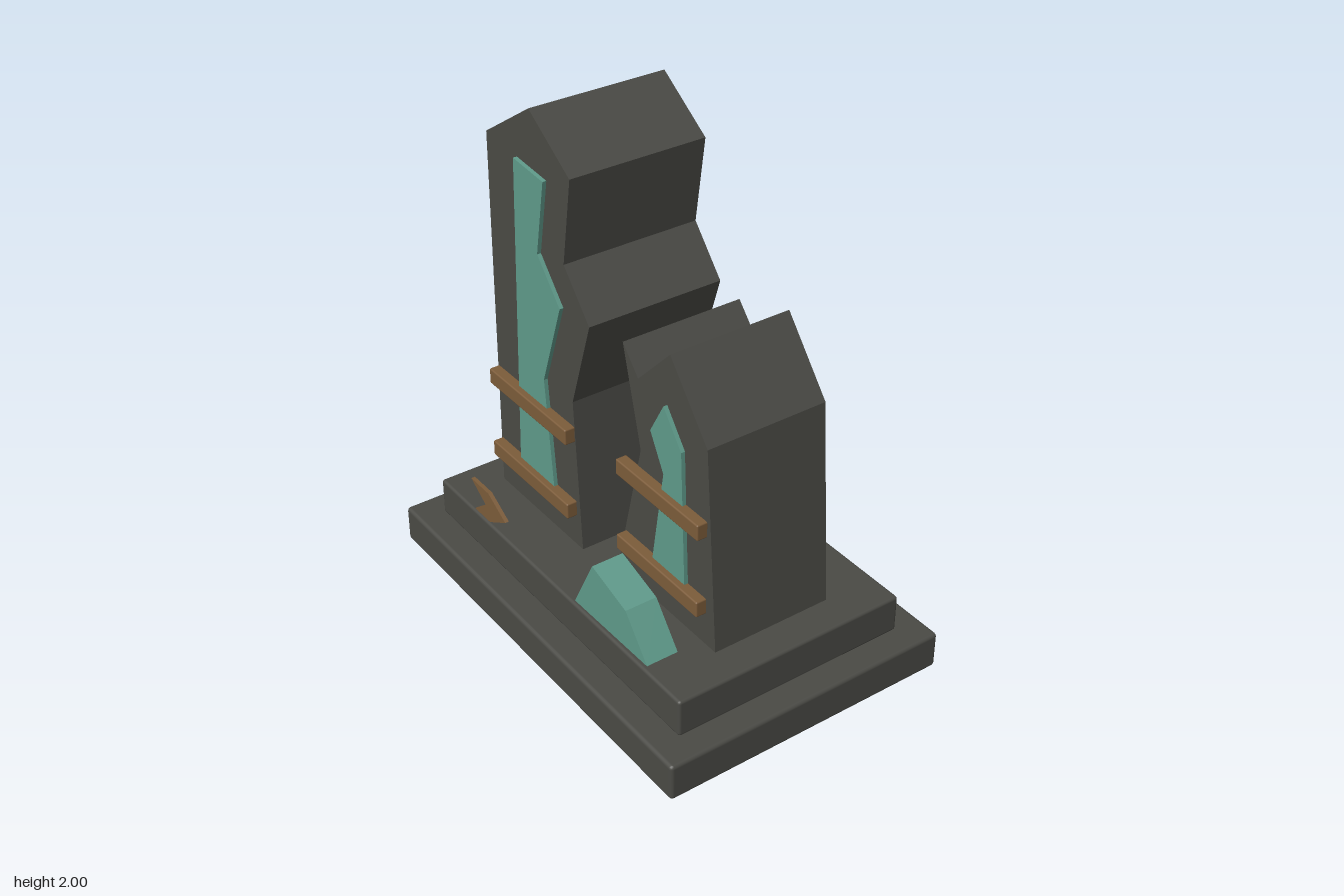
import * as THREE from 'three';
import { RoundedBoxGeometry } from 'three/addons/geometries/RoundedBoxGeometry.js';

const stone = new THREE.MeshStandardMaterial({ color: 0x4a4a45 });
const crystal = new THREE.MeshStandardMaterial({ color: 0x5f9a8a });
const bronze = new THREE.MeshStandardMaterial({ color: 0x7c5c3a });

// Flat outline in x/y, extruded from z0 to z1
function plate(name, material, points, z0, z1) {
  const shape = new THREE.Shape(points.map(([x, y]) => new THREE.Vector2(x, y)));
  const geometry = new THREE.ExtrudeGeometry(shape, { depth: z1 - z0, bevelEnabled: false });
  geometry.translate(0, 0, z0);
  const mesh = new THREE.Mesh(geometry, material);
  mesh.name = name;
  return mesh;
}

// Softened box given by its extents
function block(name, material, [x0, x1], [y0, y1], [z0, z1], radius) {
  const mesh = new THREE.Mesh(
    new RoundedBoxGeometry(x1 - x0, y1 - y0, z1 - z0, 2, radius), material);
  mesh.position.set((x0 + x1) / 2, (y0 + y1) / 2, (z0 + z1) / 2);
  mesh.name = name;
  return mesh;
}

export function createModel() {
  const model = new THREE.Group();
  model.name = 'brokenMonument';

  // Stepped plinth
  model.add(
    block('lowerStep', stone, [-0.905, 0.905], [0, 0.152], [-0.6, 0.6], 0.015),
    block('upperStep', stone, [-0.797, 0.797], [0.15, 0.305], [-0.49, 0.49], 0.012));

  // Tall and short halves of the split stone
  model.add(
    plate('tallStone', stone, [
      [-0.66, 0.3], [-0.097, 0.3], [-0.14, 0.94], [-0.02, 1.31],
      [-0.172, 1.487], [-0.12, 1.833], [-0.365, 2], [-0.655, 1.808],
    ], -0.278, 0.285),
    plate('shortStone', stone, [
      [0.06, 0.3], [0.66, 0.3], [0.597, 1.125], [0.385, 1.387],
      [0.2, 1.198], [0.11, 1.3], [0.213, 0.91],
    ], -0.265, 0.235));

  // Crystal veins set into the faces
  model.add(
    plate('tallFrontVein', crystal, [
      [-0.496, 0.48], [-0.258, 0.48], [-0.305, 0.955], [-0.182, 1.31],
      [-0.318, 1.468], [-0.265, 1.77], [-0.453, 1.787],
    ], 0.27, 0.301),
    plate('shortFrontVein', crystal, [
      [0.3, 0.48], [0.497, 0.48], [0.472, 1.05],
      [0.37, 1.182], [0.293, 1.045], [0.37, 0.905],
    ], 0.22, 0.251),
    plate('tallBackVein', crystal, [
      [-0.48, 0.55], [-0.275, 0.56], [-0.31, 1.04],
      [-0.215, 1.37], [-0.35, 1.69], [-0.48, 1.75],
    ], -0.293, -0.26));

  // Bronze straps across both halves
  for (const y of [0.44, 0.77]) {
    model.add(
      block('tallStrap', bronze, [-0.655, -0.133], [y, y + 0.066], [0.28, 0.327], 0.006),
      block('shortStrap', bronze, [0.115, 0.602], [y, y + 0.066], [0.23, 0.277], 0.006));
  }

  // Fallen crystal shard and arrow marker at the front
  model.add(
    plate('fallenShard', crystal, [
      [0.152, 0.32], [0.602, 0.328], [0.475, 0.487], [0.27, 0.55],
    ], 0.355, 0.485),
    plate('arrowMarker', bronze, [
      [-0.52, 0.335], [-0.41, 0.335], [-0.295, 0.4],
      [-0.41, 0.467], [-0.535, 0.467], [-0.435, 0.4],
    ], 0.484, 0.5));

  return model;
}
